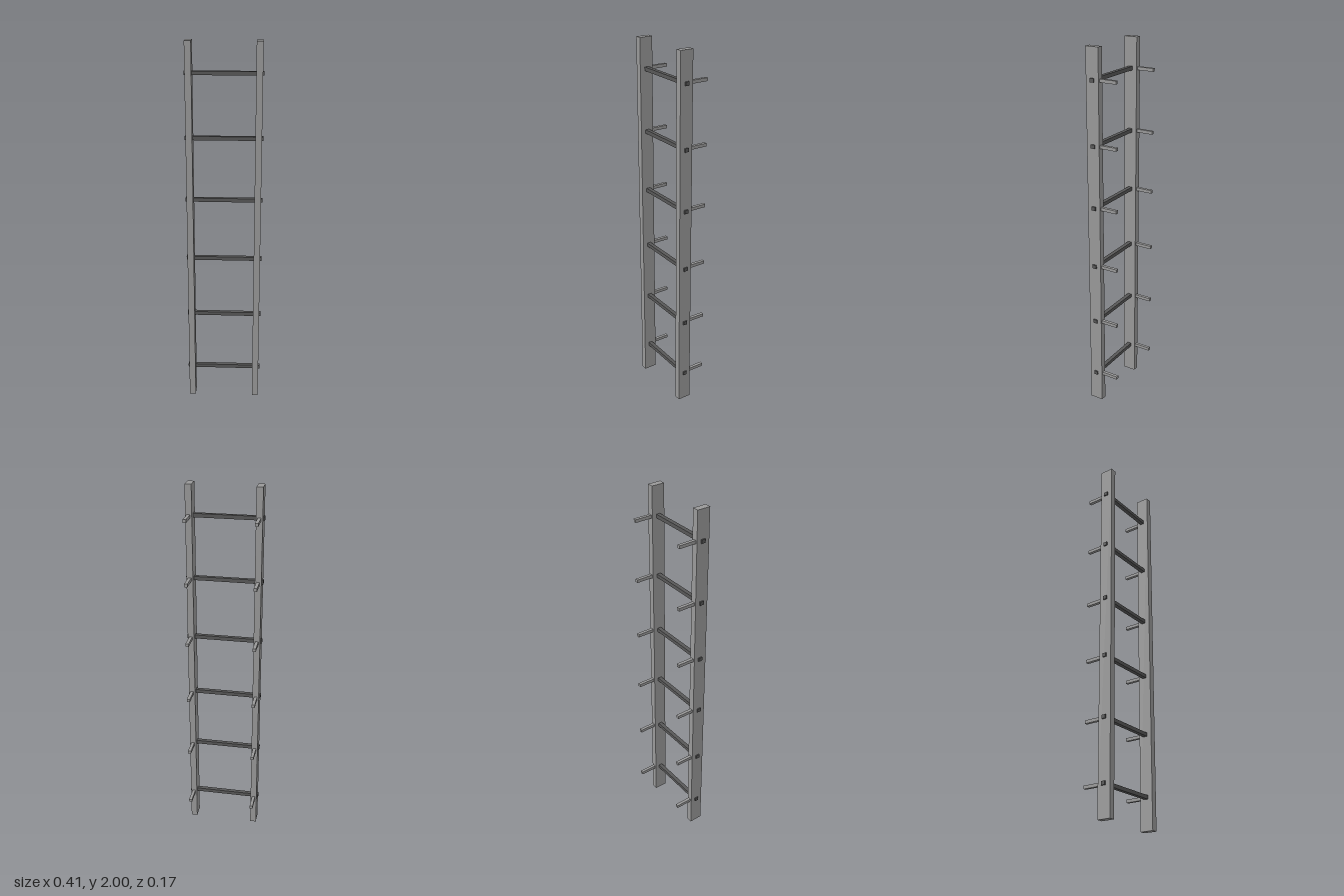
import * as THREE from 'three';

export function createModel() {
  const ladder = new THREE.Group();
  ladder.name = 'wallLadder';

  const railGrey = new THREE.MeshStandardMaterial({ color: 0x999999 });
  railGrey.name = 'light grey steel';
  const rungGrey = new THREE.MeshStandardMaterial({ color: 0x585858 });
  rungGrey.name = 'dark grey steel';

  function addBox(name, material, size, position) {
    const mesh = new THREE.Mesh(new THREE.BoxGeometry(...size), material);
    mesh.name = name;
    mesh.position.set(...position);
    ladder.add(mesh);
  }

  const railX = 0.179;
  const railZ = 0.047;
  const sides = [['left', 1], ['right', -1]];

  // Two upright rails
  for (const [side, sign] of sides) {
    addBox(side + 'Rail', railGrey, [0.034, 2, 0.073], [sign * railX, 1, railZ]);
  }

  // Six rungs that pass through the rails, each with a pair of wall brackets behind
  for (let i = 0; i < 6; i++) {
    const y = 0.171 + i * 0.3335;
    addBox('rung' + (i + 1), rungGrey, [0.406, 0.02, 0.022], [0, y, 0.046]);
    for (const [side, sign] of sides) {
      addBox(side + 'Bracket' + (i + 1), railGrey, [0.017, 0.017, 0.095], [sign * railX, y, -0.036]);
    }
  }

  return ladder;
}
